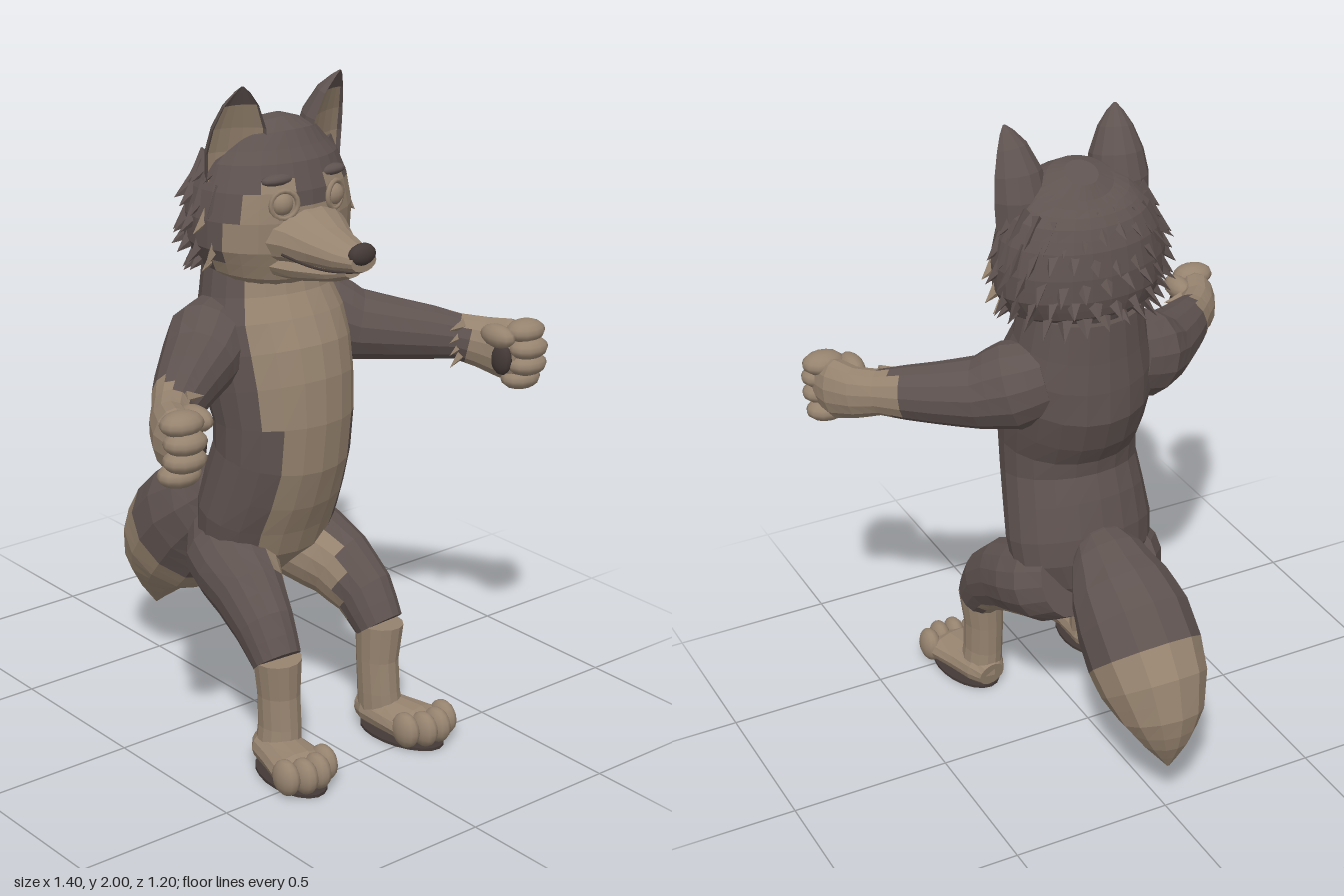
import * as THREE from 'three';
import { mergeGeometries } from 'three/addons/utils/BufferGeometryUtils.js';

const V = (x, y, z) => new THREE.Vector3(x, y, z);

export function createModel() {
  const model = new THREE.Group();
  const mat = (name, color) => {
    const m = new THREE.MeshStandardMaterial({ color });
    m.name = name;
    return m;
  };
  const dark = mat('dark fur', 0x5f5350);
  const tan = mat('tan fur', 0x96836f);
  const black = mat('nose and pads', 0x443a37);
  const mats = [dark, tan, black];

  // Faceted skin over elliptical sections [x, y, z, a, b]; pick(angle, centroid) gives a colour index
  function loft(name, rows, ref, n, pick, { sub = 1, dent = 1 } = {}) {
    const fine = [];
    rows.forEach((r, i) => {
      if (!i) return fine.push(r);
      for (let k = 1; k <= sub; k++) fine.push(r.map((v, q) => THREE.MathUtils.lerp(rows[i - 1][q], v, k / sub)));
    });
    const centres = fine.map((r) => V(r[0], r[1], r[2]));
    const rings = fine.map((r, i) => {
      const t = centres[Math.min(i + 1, fine.length - 1)].clone().sub(centres[Math.max(i - 1, 0)]).normalize();
      const u = ref.clone().addScaledVector(t, -ref.dot(t)).normalize();
      const v = t.clone().cross(u);
      return Array.from({ length: n }, (_, j) => {
        const a = (j / n) * Math.PI * 2, s = Math.sin(a);
        return centres[i].clone().addScaledVector(u, r[3] * Math.cos(a)).addScaledVector(v, r[4] * s * (s < 0 ? dent : 1));
      });
    });
    const lists = mats.map(() => []);
    const tri = (list, ...ps) => ps.forEach((p) => list.push(p.x, p.y, p.z));
    for (let j = 0; j < n; j++) {
      const k = (j + 1) % n, ang = ((j + 0.5) / n) * Math.PI * 2;
      for (let i = 0; i < rings.length - 1; i++) {
        const [a, b, c, d] = [rings[i][j], rings[i][k], rings[i + 1][k], rings[i + 1][j]];
        const mid = a.clone().add(b).add(c).add(d).multiplyScalar(0.25);
        const list = lists[pick(ang, mid)];
        tri(list, a, b, c);
        tri(list, a, c, d);
      }
      const e = rings.length - 1;
      tri(lists[pick(ang, centres[0])], centres[0], rings[0][k], rings[0][j]);
      tri(lists[pick(ang, centres[e])], centres[e], rings[e][j], rings[e][k]);
    }
    const g = new THREE.BufferGeometry();
    let start = 0;
    lists.forEach((l, i) => {
      if (l.length) g.addGroup(start, l.length / 3, i);
      start += l.length / 3;
    });
    g.setAttribute('position', new THREE.Float32BufferAttribute(lists.flat(), 3));
    g.computeVertexNormals();
    return named(name, g, mats);
  }

  function named(name, g, m) {
    const mesh = new THREE.Mesh(g, m);
    mesh.name = name;
    return mesh;
  }

  function blob(name, m, c, r) {
    const g = new THREE.SphereGeometry(1, 12, 8).toNonIndexed();
    return named(name, g.scale(...r).translate(...c), m);
  }

  // Adds a left-side part and its mirrored copy with the corner order reversed
  function pair(mesh) {
    const g = mesh.geometry.clone().scale(-1, 1, 1);
    for (const att of [g.attributes.position, g.attributes.normal]) {
      for (let i = 0; i < att.count; i += 3) {
        const p = V().fromBufferAttribute(att, i + 1), q = V().fromBufferAttribute(att, i + 2);
        att.setXYZ(i + 1, q.x, q.y, q.z);
        att.setXYZ(i + 2, p.x, p.y, p.z);
      }
    }
    const base = mesh.name;
    mesh.name = base + 'Left';
    model.add(mesh, named(base + 'Right', g, mesh.material));
  }

  const X = V(1, 0, 0), Y = V(0, 1, 0);
  const upright = (rows) => rows.map(([y, rx, zf, zb]) => [0, y, (zf + zb) / 2, rx, (zf - zb) / 2]);

  // Torso with a pale chest and belly
  model.add(loft('torso', upright([
    [0.46, 0.07, 0.07, -0.06], [0.54, 0.17, 0.14, -0.1], [0.62, 0.225, 0.21, -0.115], [0.7, 0.232, 0.24, -0.11],
    [0.8, 0.222, 0.285, -0.09], [0.9, 0.212, 0.32, -0.06], [1.0, 0.213, 0.335, -0.065], [1.1, 0.222, 0.335, -0.11],
    [1.2, 0.228, 0.315, -0.145], [1.29, 0.225, 0.275, -0.142], [1.37, 0.2, 0.235, -0.135], [1.48, 0.18, 0.21, -0.13],
  ]), X, 20, (a, p) => {
    const front = -Math.sin(a);
    return front > (p.y > 1.03 ? 0.5 : 0.72) ? 1 : 0;
  }));

  // Head with a pale lower face
  model.add(loft('head', upright([
    [1.42, 0.13, 0.19, -0.11], [1.47, 0.22, 0.24, -0.135], [1.54, 0.26, 0.265, -0.145], [1.62, 0.262, 0.27, -0.145],
    [1.7, 0.243, 0.262, -0.135], [1.77, 0.212, 0.235, -0.11], [1.83, 0.15, 0.185, -0.07], [1.87, 0.05, 0.09, -0.01],
  ]), X, 28, (a, p) => {
    const x = Math.abs(p.x), brow = x < 0.035 ? 1.66 : 1.735 - 0.1 * Math.max(0, x - 0.1);
    return p.y < brow && p.z > 0.1 + (p.y - 1.45) * 0.4 ? 1 : 0;
  }, { sub: 2 }));

  // Muzzle, lower jaw, nose and mouth line
  model.add(loft('muzzle', [
    [0, 1.565, 0.18, 0.17, 0.11], [0, 1.56, 0.27, 0.125, 0.085], [0, 1.547, 0.34, 0.09, 0.062],
    [0, 1.54, 0.42, 0.068, 0.045], [0, 1.54, 0.485, 0.046, 0.03],
  ], X, 14, () => 1));
  model.add(loft('jaw', [
    [0, 1.49, 0.16, 0.15, 0.06], [0, 1.485, 0.28, 0.1, 0.045], [0, 1.49, 0.38, 0.06, 0.03], [0, 1.5, 0.44, 0.03, 0.016],
  ], X, 12, () => 1));
  model.add(blob('nose', black, [0, 1.56, 0.477], [0.047, 0.032, 0.025]));
  const smile = new THREE.CatmullRomCurve3([
    V(-0.122, 1.535, 0.275), V(-0.085, 1.512, 0.34), V(-0.055, 1.507, 0.42), V(0, 1.51, 0.477),
    V(0.055, 1.507, 0.42), V(0.085, 1.512, 0.34), V(0.122, 1.535, 0.275),
  ]);
  model.add(named('mouthLine', new THREE.TubeGeometry(smile, 24, 0.004, 5), black));

  // Eyes, lids and brows
  pair(blob('eye', tan, [0.092, 1.668, 0.238], [0.036, 0.034, 0.03]));
  const lid = new THREE.TorusGeometry(0.04, 0.008, 6, 16).toNonIndexed();
  pair(named('eyelid', lid.rotateY(0.35).translate(0.092, 1.668, 0.25), tan));
  pair(blob('brow', dark, [0.092, 1.735, 0.222], [0.06, 0.017, 0.025]));

  // Cupped ears with pale insides
  pair(loft('ear', [
    [0.165, 1.72, 0.12, 0.085, 0.1], [0.163, 1.8, 0.125, 0.09, 0.095], [0.163, 1.87, 0.137, 0.08, 0.08],
    [0.168, 1.94, 0.152, 0.052, 0.05], [0.174, 1.98, 0.165, 0.024, 0.022], [0.177, 2, 0.17, 0.004, 0.004],
  ], V(0.94, 0, -0.35), 14, (a, p) => (Math.sin(a) < 0 && Math.abs(Math.cos(a)) < 0.85 && p.y < 1.96 ? 1 : 0),
  { dent: -0.25 }));

  // Ruff of pointed fur tufts round the cheeks and back of the head
  const tufts = { dark: [], tan: [] };
  const tuft = (list, pos, dir, r, h) => {
    const g = new THREE.ConeGeometry(r, h, 4).scale(1, 1, 0.6).toNonIndexed();
    g.computeVertexNormals();
    g.applyQuaternion(new THREE.Quaternion().setFromUnitVectors(Y, dir.normalize()));
    list.push(g.translate(pos.x, pos.y, pos.z));
  };
  [[1.74, 0.215, 0.16], [1.67, 0.245, 0.185], [1.6, 0.258, 0.195], [1.535, 0.253, 0.195], [1.485, 0.225, 0.18]]
    .forEach(([y, rx, rz], row) => {
      const count = 15;
      for (let i = 0; i < count; i++) {
        const a = THREE.MathUtils.lerp(-0.3, Math.PI + 0.3, (i + (row % 2) * 0.5) / (count - 0.5));
        const wob = Math.sin(i * 7.3 + row * 3.1);
        const pos = V(rx * Math.cos(a), y + wob * 0.012, 0.055 - rz * Math.sin(a));
        const pale = pos.z > 0.085 && y < 1.61;
        tuft(pale ? tufts.tan : tufts.dark, pos, V(Math.cos(a), -0.95 + wob * 0.2, -Math.sin(a) - 0.1), 0.04, 0.1);
      }
    });
  model.add(named('darkRuff', mergeGeometries(tufts.dark), dark), named('paleCheekTufts', mergeGeometries(tufts.tan), tan));

  // Arms reaching out and forward, ending in pale hands
  pair(loft('arm', [
    [0.13, 1.26, 0.02, 0.12, 0.1], [0.22, 1.235, 0.06, 0.135, 0.125], [0.3, 1.205, 0.115, 0.108, 0.11],
    [0.4, 1.19, 0.195, 0.092, 0.092], [0.47, 1.18, 0.255, 0.082, 0.078], [0.53, 1.17, 0.31, 0.07, 0.062],
    [0.58, 1.155, 0.365, 0.08, 0.06], [0.615, 1.145, 0.43, 0.095, 0.062], [0.63, 1.14, 0.49, 0.085, 0.05],
  ], Y, 14, (a, p) => (p.x > 0.52 ? 1 : 0), { sub: 2 }));
  const cuff = [];
  for (let i = 0; i < 4; i++) tuft(cuff, V(0.485, 1.11 + i * 0.035, 0.35), V(-0.8, -0.5 + i * 0.15, 0.1), 0.022, 0.06);
  pair(named('wristTufts', mergeGeometries(cuff), tan));

  // Curled fingers stacked from top to bottom, with thumb and palm pad
  [[1.212, 0.488], [1.163, 0.503], [1.112, 0.5], [1.063, 0.475]].forEach(([y, z], i) =>
    pair(blob('finger' + i, tan, [0.635, y, z], [0.066, 0.035, 0.052])));
  pair(blob('thumb', tan, [0.56, 1.2, 0.45], [0.036, 0.035, 0.065]));
  pair(blob('palmPad', black, [0.567, 1.13, 0.46], [0.022, 0.05, 0.04]));

  // Thighs with pale inner sides
  pair(loft('thigh', [
    [0.1, 0.59, -0.05, 0.1, 0.12], [0.125, 0.555, 0.03, 0.135, 0.135], [0.15, 0.525, 0.11, 0.13, 0.125],
    [0.175, 0.485, 0.2, 0.105, 0.118], [0.193, 0.42, 0.29, 0.087, 0.1], [0.198, 0.335, 0.355, 0.073, 0.078],
  ], X, 16, (a, p) => {
    const inner = Math.cos(a) < -0.2 && Math.sin(a) < 0.85, under = Math.sin(a) < -0.8;
    return p.z > 0.02 && p.z < 0.28 && (inner || under) ? 1 : 0;
  }, { sub: 2 }));

  // Shins, feet, toes and soles
  pair(loft('shin', [
    [0.2, 0.05, 0.365, 0.065, 0.075], [0.193, 0.13, 0.362, 0.061, 0.07], [0.192, 0.23, 0.355, 0.062, 0.068],
    [0.198, 0.345, 0.355, 0.071, 0.076],
  ], X, 14, () => 1));
  pair(loft('foot', [
    [0.195, 0.05, 0.295, 0.045, 0.042], [0.2, 0.058, 0.335, 0.07, 0.053], [0.212, 0.056, 0.42, 0.082, 0.052],
    [0.226, 0.055, 0.5, 0.096, 0.05], [0.231, 0.048, 0.54, 0.085, 0.038],
  ], X, 14, () => 1));
  [[0.16, 0.525], [0.208, 0.553], [0.258, 0.555], [0.305, 0.53]].forEach(([x, z], i) =>
    pair(blob('toe' + i, tan, [x, 0.06, z], [0.033, 0.055, 0.052])));
  const sole = new THREE.CylinderGeometry(1, 1, 0.009, 20).toNonIndexed();
  pair(named('sole', sole.scale(0.085, 1, 0.15).rotateY(0.14).translate(0.217, 0.0045, 0.445), black));

  // Bushy tail with a pale tip
  model.add(loft('tail', [
    [0, 0.7, -0.05, 0.07, 0.07], [0, 0.68, -0.12, 0.115, 0.1], [0, 0.615, -0.2, 0.155, 0.15], [0, 0.55, -0.285, 0.174, 0.182],
    [0, 0.47, -0.36, 0.174, 0.19], [0, 0.4, -0.42, 0.16, 0.18], [0, 0.32, -0.47, 0.125, 0.135],
    [0, 0.24, -0.495, 0.07, 0.075], [0, 0.16, -0.512, 0.004, 0.004],
  ], X, 12, (a, p) => (p.y - 0.48 + (p.z + 0.36) * 0.85 < 0 ? 1 : 0), { sub: 2 }));

  return model;
}
